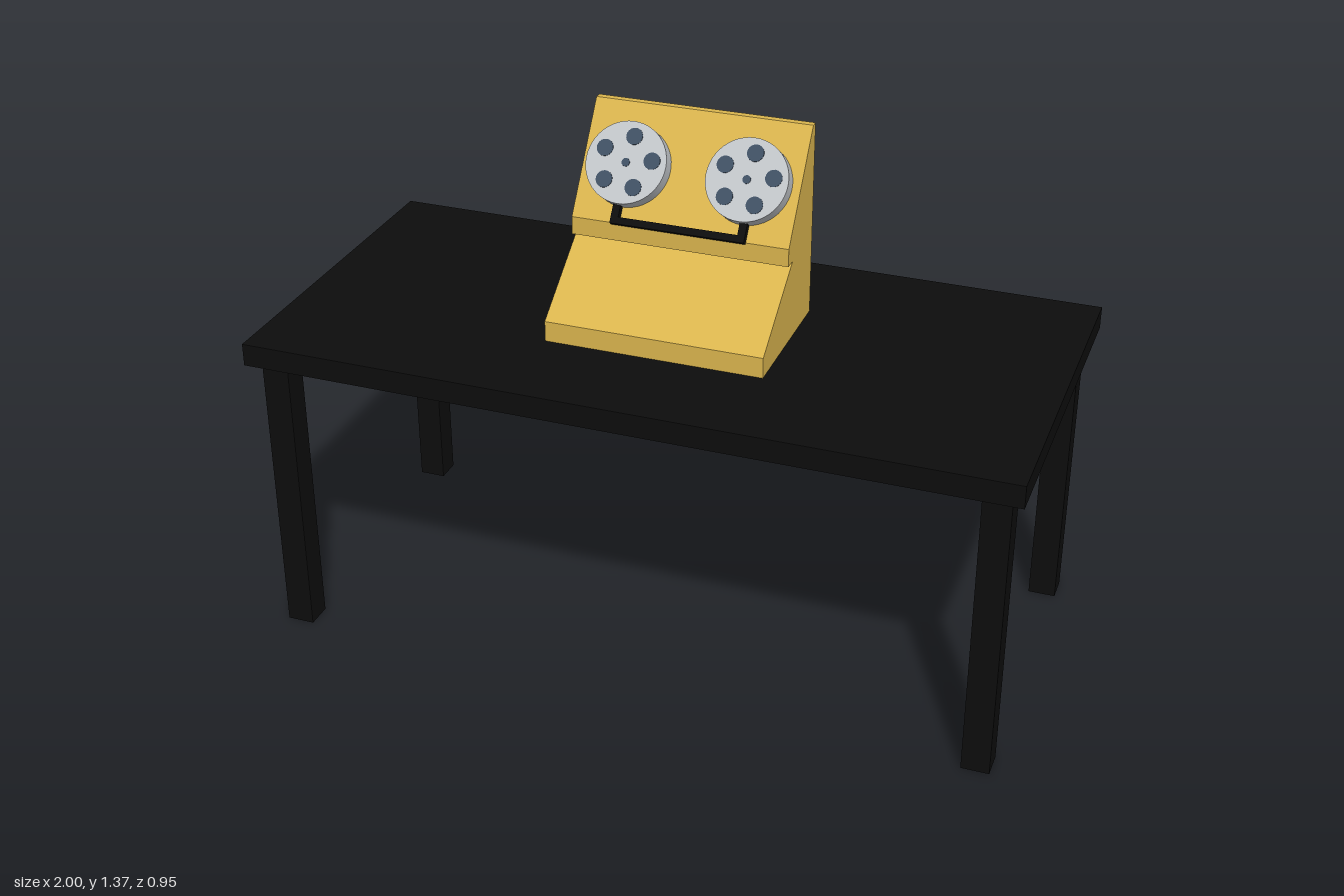
import * as THREE from 'three';

const material = (name, color) => {
  const m = new THREE.MeshStandardMaterial({ color });
  m.name = name;
  return m;
};

export function createModel() {
  const black = material('black', 0x0d0d0d);
  const yellow = material('mustard yellow', 0xdab54e);
  const silver = material('silver grey', 0xc2c6ca);
  const slate = material('slate blue', 0x3f5063);

  const model = new THREE.Group();
  model.name = 'tapeMachineOnTable';

  const add = (parent, name, geometry, mat, x = 0, y = 0, z = 0) => {
    const mesh = new THREE.Mesh(geometry, mat);
    mesh.name = name;
    mesh.position.set(x, y, z);
    parent.add(mesh);
    return mesh;
  };
  const box = (w, h, d) => new THREE.BoxGeometry(w, h, d);
  // Disc whose flat faces look along z
  const disc = (r, depth, sides) => new THREE.CylinderGeometry(r, r, depth, sides).rotateX(Math.PI / 2);

  // Table
  const table = new THREE.Group();
  table.name = 'table';
  model.add(table);
  add(table, 'tableTop', box(2, 0.06, 0.95), black, 0, 0.82, 0);
  for (const sx of [-1, 1]) {
    for (const sz of [-1, 1]) {
      add(table, 'tableLeg', box(0.072, 0.79, 0.07), black, sx * 0.932, 0.395, sz * 0.407);
    }
  }

  // Console body: side profile given as (z, y), extruded across x
  const profile = [
    [0.196, 0.85], [0.196, 0.905], [-0.03, 1.065], [0.005, 1.065],
    [0.005, 1.113], [-0.176, 1.372], [-0.195, 1.372], [-0.195, 0.85],
  ].map(([z, y]) => new THREE.Vector2(z, y));
  const width = 0.578;
  const bodyGeometry = new THREE.ExtrudeGeometry(new THREE.Shape(profile), { depth: width, bevelEnabled: false });
  bodyGeometry.translate(0, 0, -width / 2).rotateY(-Math.PI / 2);
  add(model, 'consoleBody', bodyGeometry, yellow);

  // Sloping panel frame: y runs up the panel, z points out of it
  const panel = new THREE.Group();
  panel.name = 'reelPanel';
  panel.position.set(0, 1.113, 0.005);
  panel.rotation.x = -0.611;
  model.add(panel);

  // Reels with five openings and a spindle hole
  for (const side of [-1, 1]) {
    const reel = new THREE.Group();
    reel.name = side < 0 ? 'rightReel' : 'leftReel';
    reel.position.set(side * 0.16, 0.15, 0.021);
    panel.add(reel);
    add(reel, 'reelDisc', disc(0.107, 0.042, 48), silver);
    add(reel, 'spindleHole', disc(0.011, 0.003, 12), slate, 0, 0, 0.021);
    for (let i = 0; i < 5; i++) {
      const a = THREE.MathUtils.degToRad(82 + 72 * i);
      add(reel, 'reelOpening', disc(0.022, 0.003, 20), slate, Math.cos(a) * 0.069, Math.sin(a) * 0.069, 0.021);
    }
  }

  // Tape path joining the two reels
  add(panel, 'tapeBar', box(0.356, 0.018, 0.018), black, 0, 0.004, 0.013);
  for (const side of [-1, 1]) {
    add(panel, 'tapeEnd', box(0.02, 0.06, 0.018), black, side * 0.168, 0.025, 0.013);
  }

  return model;
}
